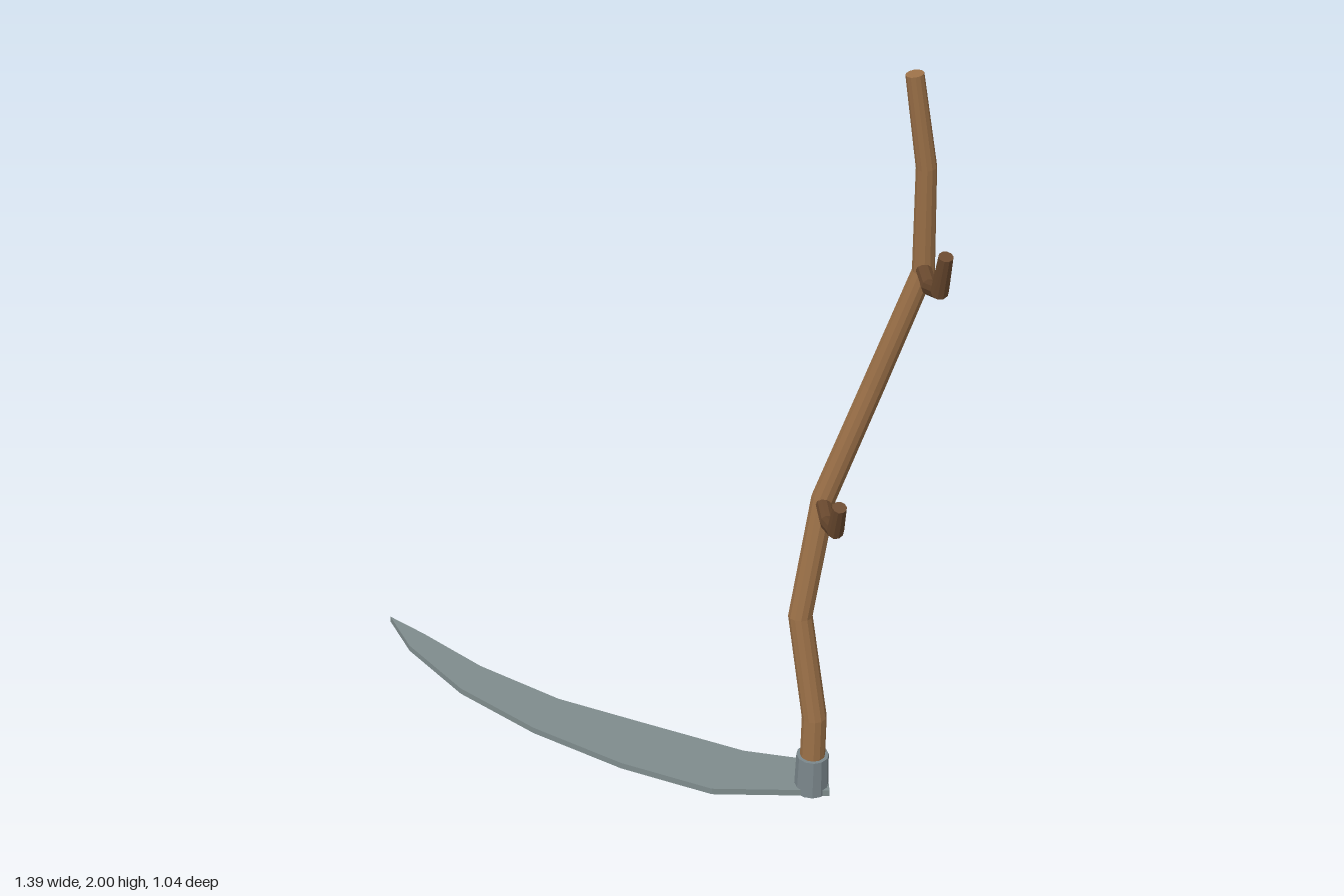
import * as THREE from 'three';

const paint = (color) => new THREE.MeshStandardMaterial({ color, flatShading: true });

// Sweeps a tapering round section along points [x, y, z, radius], with capped ends.
function limb(points, sides) {
  const p = points.map(([x, y, z]) => new THREE.Vector3(x, y, z));
  const last = p.length - 1;
  const pos = [], index = [];
  const dirAt = (i) => p[i + 1].clone().sub(p[i]).normalize();
  const tangent = (i) => dirAt(Math.max(i - 1, 0)).add(dirAt(Math.min(i, last - 1))).normalize();
  let u = new THREE.Vector3(1, 0, 0);
  p.forEach((c, i) => {
    const t = tangent(i);
    u = u.clone().addScaledVector(t, -u.dot(t)).normalize();
    const v = t.clone().cross(u);
    for (let s = 0; s < sides; s++) {
      const a = (s / sides) * Math.PI * 2;
      const q = c.clone()
        .addScaledVector(u, Math.cos(a) * points[i][3])
        .addScaledVector(v, Math.sin(a) * points[i][3]);
      pos.push(q.x, q.y, q.z);
    }
  });
  pos.push(...p[0].toArray(), ...p[last].toArray());
  const start = (last + 1) * sides;
  for (let s = 0; s < sides; s++) {
    const n = (s + 1) % sides;
    for (let i = 0; i < last; i++) {
      const a = i * sides + s, b = i * sides + n;
      index.push(a, b, b + sides, a, b + sides, a + sides);
    }
    index.push(start, n, s, start + 1, last * sides + s, last * sides + n);
  }
  const g = new THREE.BufferGeometry();
  g.setAttribute('position', new THREE.Float32BufferAttribute(pos, 3));
  g.setIndex(index);
  g.computeVertexNormals();
  return g;
}

export function createModel() {
  const model = new THREE.Group();
  const add = (name, geometry, material) => {
    const mesh = new THREE.Mesh(geometry, material);
    mesh.name = name;
    model.add(mesh);
    return mesh;
  };
  const wood = paint(0x9c7148);
  const darkWood = paint(0x6b4a2f);
  const steel = paint(0x7f8c8d);
  const iron = paint(0x7b878c);

  // Crooked wooden shaft
  add('shaft', limb([
    [0.455, 0.03, 0.25, 0.033],
    [0.455, 0.23, 0.25, 0.032],
    [0.412, 0.52, 0.217, 0.031],
    [0.46, 0.85, 0.19, 0.031],
    [0.565, 1.18, 0.212, 0.029],
    [0.662, 1.5, 0.245, 0.027],
    [0.651, 1.77, 0.265, 0.024],
    [0.611, 1.998, 0.275, 0.021],
  ], 12), wood);

  // Two bent branch grips, running forward and turning up
  add('lowerGrip', limb([
    [0.457, 0.845, 0.19, 0.019],
    [0.462, 0.847, 0.3, 0.019],
    [0.469, 0.9, 0.418, 0.021],
    [0.473, 0.985, 0.452, 0.017],
  ], 10), darkWood);
  add('upperGrip', limb([
    [0.66, 1.51, 0.245, 0.019],
    [0.664, 1.51, 0.35, 0.019],
    [0.67, 1.56, 0.468, 0.021],
    [0.674, 1.66, 0.5, 0.017],
  ], 10), darkWood);

  // Socket joining shaft and blade
  const socket = add('socket', new THREE.CylinderGeometry(0.042, 0.045, 0.11, 12), iron);
  socket.position.set(0.455, 0.055, 0.25);

  // Flat curved blade, outlined as [x, z]: back edge to the tip, then along the cutting edge
  const outline = [
    [0.5, 0.165], [0.46, 0.155], [0.285, 0.115], [0.02, -0.01], [-0.21, -0.12],
    [-0.43, -0.275], [-0.6, -0.435], [-0.7, -0.52], [-0.635, -0.375],
    [-0.48, -0.17], [-0.275, 0.01], [-0.04, 0.165], [0.195, 0.275], [0.5, 0.285],
  ].map(([x, z]) => new THREE.Vector2(x, -z));
  const blade = new THREE.ExtrudeGeometry(new THREE.Shape(outline), { depth: 0.018, bevelEnabled: false });
  blade.rotateX(-Math.PI / 2);
  add('blade', blade, steel);

  return model;
}
